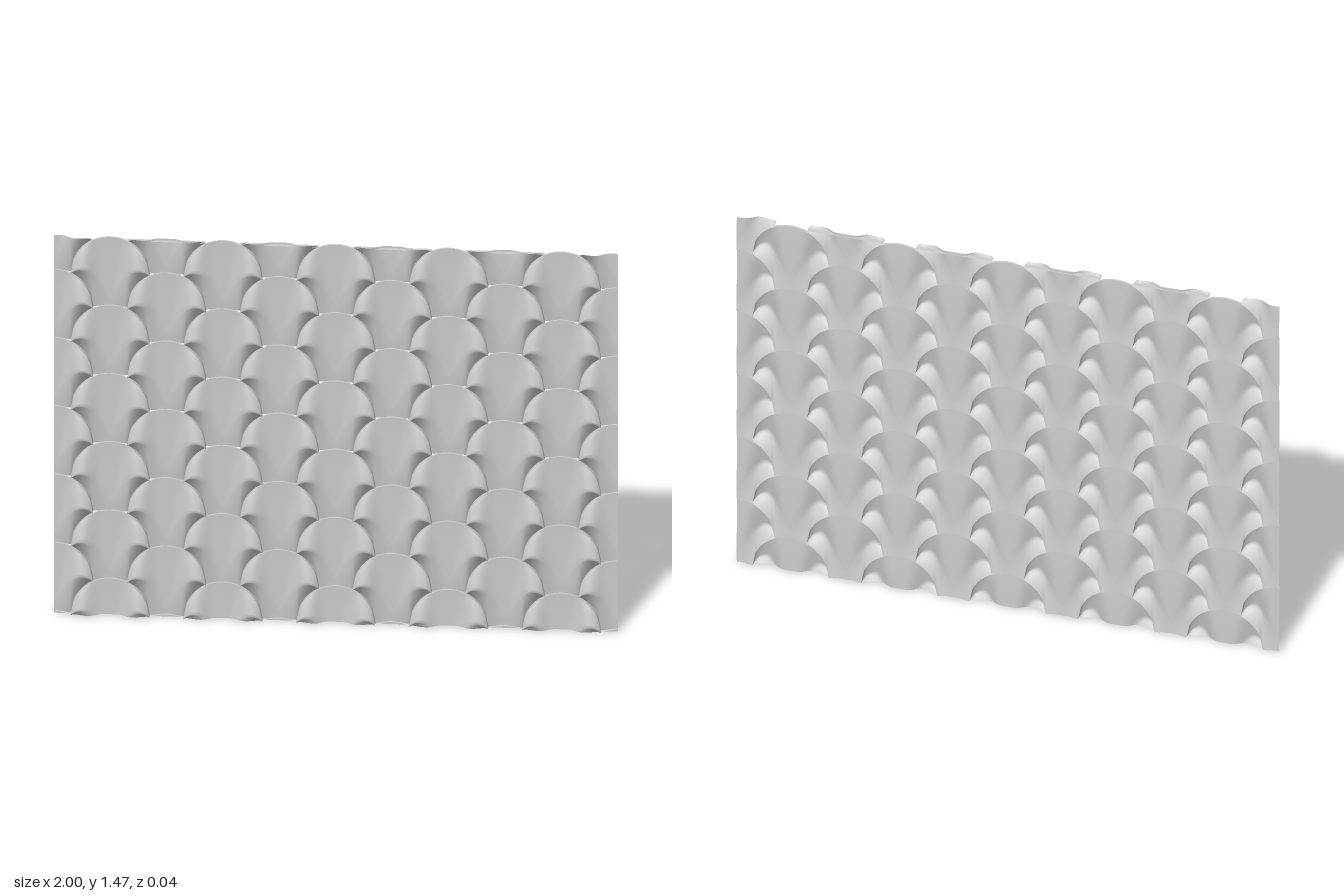
import * as THREE from 'three';

const R = 0.14;            // radius of a scale's round top
const PITCH = 0.2655;      // vertical distance between scales in one column
const STEP = 0.2;          // distance between neighbouring columns
const TOP = 1.463, BACK = -0.02, TIP = -0.235;
const { clamp, lerp } = THREE.MathUtils;

// Borders of a scale, measured from its top centre
const rim = u => -R + Math.sqrt(Math.max(0, R * R - u * u));
const foot = u => Math.abs(u) < STEP - R
  ? Math.max(-PITCH + rim(u), -PITCH / 2 - R)
  : -PITCH / 2 + rim(STEP - Math.abs(u));
const wave = u => Math.sin(Math.PI / 2 * Math.abs(u) / 0.1);
const crest = u => clamp(TIP + 0.12 * wave(u), foot(u), rim(u));

// Relief: two petals rising from a flat V, then dropping under the next scales
function relief(u, v) {
  const vee = 0.2 * Math.max(0, v - TIP);
  const a = Math.abs(u);
  const e = a < 0.1 ? Math.max(0, a - vee) / Math.max(0.01, 0.1 - vee) * 0.1 : a;
  const w = wave(Math.min(e, R));
  const rimZ = -0.012 + 0.012 * Math.min(1, e / 0.1);
  const crestZ = -0.017 + 0.037 * w * w;
  const c = crest(u);
  if (v >= c) {
    const s = (rim(u) - v) / Math.max(1e-5, rim(u) - c);
    return lerp(rimZ, crestZ, Math.pow(clamp(s, 0, 1), 0.75));
  }
  const s = (c - v) / Math.max(1e-5, c - foot(u));
  return lerp(crestZ, BACK, clamp(s, 0, 1));
}

function gridGeometry(rows) {
  const n = rows[0].length, index = [];
  for (let j = 0; j < rows.length - 1; j++) {
    for (let i = 0; i < n - 1; i++) {
      const a = j * n + i, b = a + n;
      index.push(a, b, a + 1, a + 1, b, b + 1);
    }
  }
  const g = new THREE.BufferGeometry();
  g.setAttribute('position', new THREE.Float32BufferAttribute(rows.flat(2), 3));
  g.setIndex(index);
  g.computeVertexNormals();
  return g;
}

function addScale(group, material, cx, top) {
  const u0 = Math.max(-R, -1 - cx), u1 = Math.min(R, 1 - cx);
  const cols = Math.round((u1 - u0) / 0.01), half = 8;
  const us = Array.from({ length: cols + 1 }, (_, i) => lerp(u0, u1, i / cols));
  const fit = v => clamp(v, -top, TOP + 0.005 - top);

  // Face, with one row lying on the crest
  const rows = [];
  for (let j = 0; j <= 2 * half; j++) {
    rows.push(us.map(u => {
      const v = fit(j <= half
        ? lerp(rim(u), crest(u), j / half)
        : lerp(crest(u), foot(u), j / half - 1));
      return [cx + u, top + v, relief(u, v)];
    }));
  }
  const face = new THREE.Mesh(gridGeometry(rows), material);
  face.name = 'scaleFace';
  group.add(face);

  // Narrow wall that steps back from the round top
  const edge = us.filter(u => fit(rim(u)) === rim(u));
  if (edge.length > 1) {
    const strip = [BACK, null].map(z => edge.map(u =>
      [cx + u, top + rim(u), z ?? relief(u, rim(u))]));
    const wall = new THREE.Mesh(gridGeometry(strip), material);
    wall.name = 'scaleRim';
    group.add(wall);
  }
}

export function createModel() {
  const model = new THREE.Group();
  model.name = 'scalePanel';
  const material = new THREE.MeshStandardMaterial({ color: 0xcccccc, side: THREE.DoubleSide });

  // Columns alternate by half a pitch
  for (let c = -5; c <= 5; c++) {
    const column = new THREE.Group();
    column.name = 'scaleColumn';
    const start = c % 2 === 0 ? 1.468 : 1.468 + PITCH / 2;
    for (let top = start; top > 0; top -= PITCH) addScale(column, material, c * STEP, top);
    model.add(column);
  }
  return model;
}
